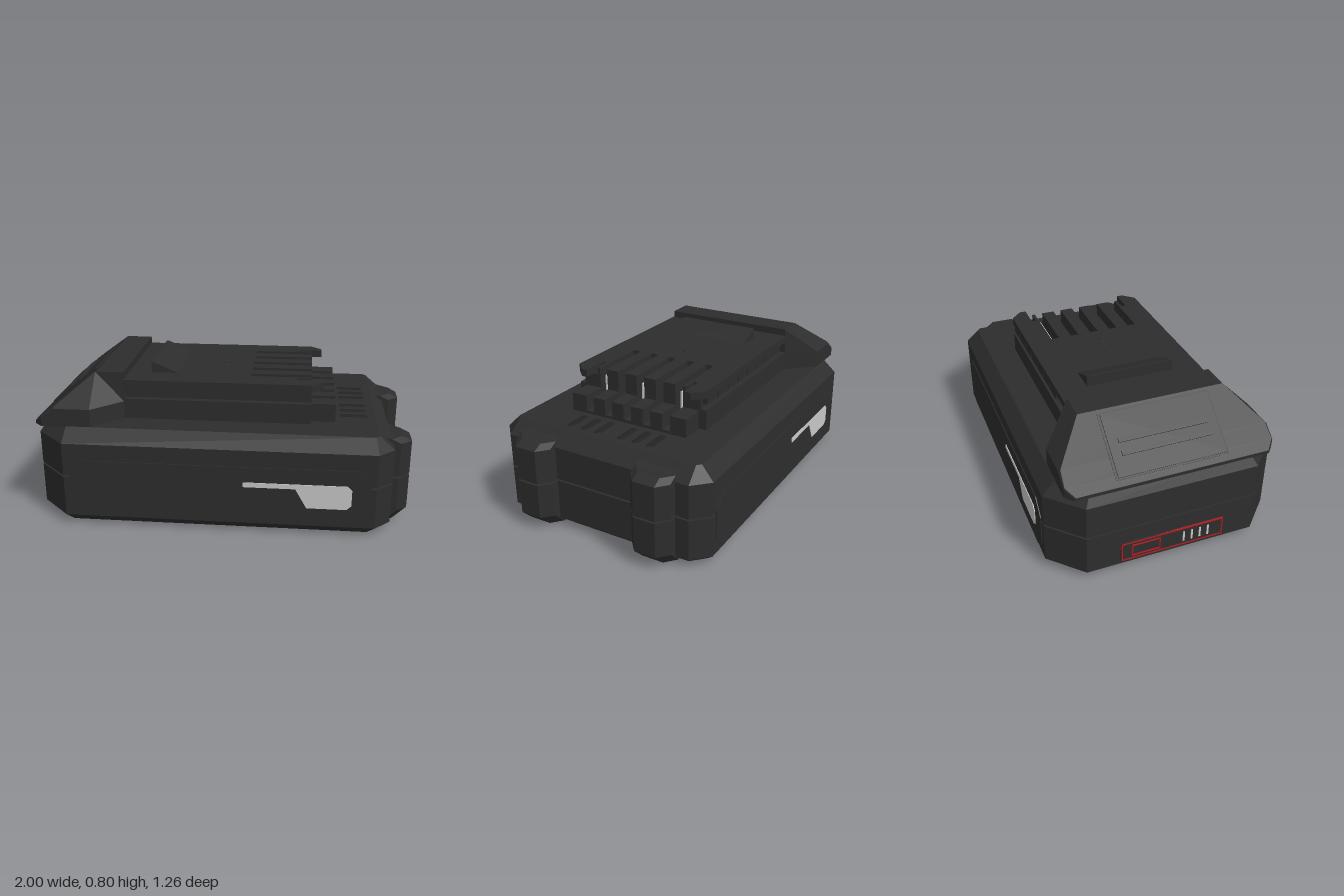
import * as THREE from 'three';

const mat = (name, color, side = THREE.FrontSide) => {
  const m = new THREE.MeshStandardMaterial({ color, side });
  m.name = name;
  return m;
};

export function createModel() {
  const root = new THREE.Group();
  root.name = 'batteryPack';
  const charcoal = mat('charcoal', 0x2d2d2d);
  const shadowBlack = mat('deepBlack', 0x232323);
  const silver = mat('silver', 0xc8c8c8);
  const red = mat('red', 0xb01c20);

  const add = (name, geo, material = charcoal, parent = root) => {
    const m = new THREE.Mesh(geo, material);
    m.name = name;
    parent.add(m);
    return m;
  };
  // Box given by its limits
  const box = (name, x0, x1, y0, y1, z0, z1, material, parent) => {
    const m = add(name, new THREE.BoxGeometry(x1 - x0, y1 - y0, z1 - z0), material, parent);
    m.position.set((x0 + x1) / 2, (y0 + y1) / 2, (z0 + z1) / 2);
    return m;
  };
  // Flat-faced skin over loops that run counterclockwise about the loft direction
  const loft = (loops) => {
    const pos = [];
    const tri = (a, b, c) => pos.push(...a, ...b, ...c);
    const n = loops[0].length;
    for (let k = 0; k < loops.length - 1; k++) {
      for (let i = 0; i < n; i++) {
        const j = (i + 1) % n;
        tri(loops[k][i], loops[k][j], loops[k + 1][j]);
        tri(loops[k][i], loops[k + 1][j], loops[k + 1][i]);
      }
    }
    const first = loops[0], last = loops[loops.length - 1];
    for (let i = 1; i < n - 1; i++) {
      tri(first[0], first[i + 1], first[i]);
      tri(last[0], last[i], last[i + 1]);
    }
    const g = new THREE.BufferGeometry();
    g.setAttribute('position', new THREE.Float32BufferAttribute(pos, 3));
    g.computeVertexNormals();
    return g;
  };
  const extrude = (pts, depth) => new THREE.ExtrudeGeometry(
    new THREE.Shape(pts.map(([x, y]) => new THREE.Vector2(x, y))), { depth, bevelEnabled: false });

  // Main case: two chamfered shells with a seam between them
  const ring = (y, x0, x1, h, c0, c1) => [
    [x1 - c1, y, h], [x1, y, h - c1], [x1, y, c1 - h], [x1 - c1, y, -h],
    [x0 + c0, y, -h], [x0, y, c0 - h], [x0, y, h - c0], [x0 + c0, y, h]];
  const full = (y) => ring(y, -0.985, 0.9, 0.622, 0.165, 0.085);
  add('lowerCase', loft([ring(0.006, -0.94, 0.85, 0.58, 0.15, 0.07), full(0.05), full(0.27)]));
  add('upperCase', loft([full(0.28), full(0.46), ring(0.53, -0.94, 0.82, 0.552, 0.13, 0.02)]));
  add('seamCore', loft([0.25, 0.3].map((y) => ring(y, -0.965, 0.88, 0.602, 0.165, 0.085))), shadowBlack);

  // Guide lugs on the right end, split by the same seam
  const lugRing = (y, x1, z, rise = 0) => [
    [x1 - 0.06, y, z + 0.112], [x1, y, z + 0.06], [x1, y, z - 0.06], [x1 - 0.06, y, z - 0.112],
    [0.8, y + rise, z - 0.112], [0.8, y + rise, z + 0.112]];
  for (const z of [-0.352, 0.352]) {
    add('lowerLug', loft([lugRing(0.012, 0.93, z), lugRing(0.08, 1, z), lugRing(0.27, 1, z)]));
    add('upperLug', loft([lugRing(0.28, 1, z), lugRing(0.465, 1, z), lugRing(0.49, 0.95, z, 0.02)]));
    const foot = add('footScrew', new THREE.CylinderGeometry(0.055, 0.055, 0.03, 20));
    foot.position.set(0.86, 0.016, z);
  }

  // Side panels with a silver flash, the far one turned half round
  for (const turn of [0, Math.PI]) {
    const side = new THREE.Group();
    side.name = 'sidePanel';
    side.rotation.y = turn;
    root.add(side);
    const panel = add('panelPlate', extrude([[-0.71, 0.06], [0.71, 0.06], [0.785, 0.13], [0.785, 0.295],
      [0.71, 0.37], [-0.71, 0.37], [-0.785, 0.295], [-0.785, 0.13]], 0.009), charcoal, side);
    panel.position.z = 0.618;
    const flash = add('silverFlash', extrude([[0.13, 0.26], [0.4, 0.26], [0.46, 0.155], [0.665, 0.155],
      [0.69, 0.178], [0.69, 0.262], [0.668, 0.286], [0.13, 0.286]], 0.004), silver, side);
    flash.position.z = 0.627;
  }

  // Terminal block: stacked slabs with five open slots at the right end
  const slots = [-0.235, -0.118, 0, 0.118, 0.235];
  const comb = (name, y0, y1, h, xe, hooked) => {
    const corner = hooked
      ? [[0.47, -h], [0.53, -0.335], [0.53, -0.3], [0.39, -0.3], [0.39, -0.275], [xe, -0.275]]
      : [[xe, -h]];
    const pts = [[-0.54, -h], ...corner];
    for (const z of slots) {
      pts.push([xe, z - 0.023], [0.14, z - 0.023], [0.14, z + 0.023], [xe, z + 0.023]);
    }
    pts.push(...corner.map(([x, z]) => [x, -z]).reverse(), [-0.54, h]);
    const m = add(name, extrude(pts, y1 - y0).rotateX(-Math.PI / 2));
    m.position.y = y0;
  };
  box('slotFloor', 0.1, 0.599, 0.52, 0.545, -0.349, 0.349);
  comb('terminalStep', 0.53, 0.63, 0.35, 0.6);
  comb('terminalBase', 0.53, 0.64, 0.394, 0.47);
  comb('railNeck', 0.64, 0.705, 0.36, 0.469);
  comb('railPlate', 0.705, 0.745, 0.395, 0.47, true);

  // Row of blocks under each rail
  for (const s of [-1, 1]) {
    for (let i = 0; i < 7; i++) {
      const x = -0.35 + i * 0.116;
      box('railBlock', x, x + 0.106, 0.665, 0.706, s * 0.375 - 0.016, s * 0.375 + 0.016);
    }
  }

  // Metal contacts
  for (const z of [-0.235, 0, 0.235]) box('contact', 0.2, 0.45, 0.54, 0.7, z - 0.004, z + 0.004, silver);

  // Stop ramp, screw and vents on top
  const ramp = add('stopRamp', extrude([[-0.405, 0.73], [-0.26, 0.73], [-0.26, 0.745], [-0.395, 0.802], [-0.405, 0.802]], 0.48));
  ramp.position.z = -0.24;
  const screw = add('topScrew', new THREE.TorusGeometry(0.02, 0.004, 6, 20));
  screw.rotation.x = Math.PI / 2;
  screw.position.set(-0.01, 0.745, 0);
  for (const z of [-0.24, -0.155, -0.07, 0.07, 0.155, 0.24]) {
    const vent = add('vent', new THREE.CapsuleGeometry(0.021, 0.108, 4, 12), shadowBlack);
    vent.rotation.z = Math.PI / 2;
    vent.scale.x = 0.2;
    vent.position.set(0.705, 0.53, z);
  }

  // Latch housing: cross-sections [x, half width, shoulder height, top height, top half width]
  add('latchHousing', loft([
    [-0.985, 0.51, 0.54, 0.545, 0.505], [-0.94, 0.55, 0.574, 0.58, 0.545], [-0.87, 0.55, 0.625, 0.635, 0.54],
    [-0.68, 0.55, 0.625, 0.785, 0.39], [-0.53, 0.395, 0.625, 0.785, 0.388],
  ].map(([x, w, sh, top, tw]) => [
    [x, top, -tw], [x, top, tw], [x, sh, w], [x, 0.526, w], [x, 0.526, -w], [x, sh, -w]])));

  // Release button lying on the slope
  const button = new THREE.Group();
  button.name = 'releaseButton';
  button.position.set(-0.822, 0.673, 0);
  button.rotation.z = Math.atan2(0.24, 0.305);
  root.add(button);
  box('buttonRim', -0.175, 0.165, -0.01, 0.003, -0.298, 0.298, shadowBlack, button);
  box('buttonPlate', -0.165, 0.155, -0.01, 0.009, -0.285, 0.285, charcoal, button);
  for (const x of [-0.055, 0.01]) box('buttonRidge', x - 0.012, x + 0.012, 0, 0.016, -0.235, 0.235, charcoal, button);

  // Charge gauge on the left end
  const outline = (name, y0, y1, z0, z1, x, t) => {
    box(name, x, x + 0.008, y0, y0 + t, z0, z1, red);
    box(name, x, x + 0.008, y1 - t, y1, z0, z1, red);
    box(name, x, x + 0.008, y0, y1, z0, z0 + t, red);
    box(name, x, x + 0.008, y0, y1, z1 - t, z1, red);
  };
  box('gaugePlate', -0.995, -0.98, 0.075, 0.185, -0.28, 0.28);
  outline('gaugeOutline', 0.075, 0.185, -0.28, 0.28, -0.998, 0.007);
  outline('gaugeButtonOutline', 0.095, 0.165, -0.225, -0.07, -1, 0.006);
  for (let i = 0; i < 4; i++) {
    const z = 0.06 + i * 0.045;
    box('gaugeLight', -0.999, -0.99, 0.1, 0.16, z - 0.005, z + 0.005, silver);
  }

  // Underside label bar and slits
  box('bottomBar', -0.19, -0.09, 0.001, 0.02, -0.4, 0.4, shadowBlack);
  for (const [x, z] of [[-0.76, 0.36], [-0.76, -0.1], [-0.87, 0.1], [-0.87, -0.2]]) {
    box('bottomSlit', x - 0.012, x + 0.012, 0, 0.02, z - 0.12, z + 0.12);
  }
  return root;
}
